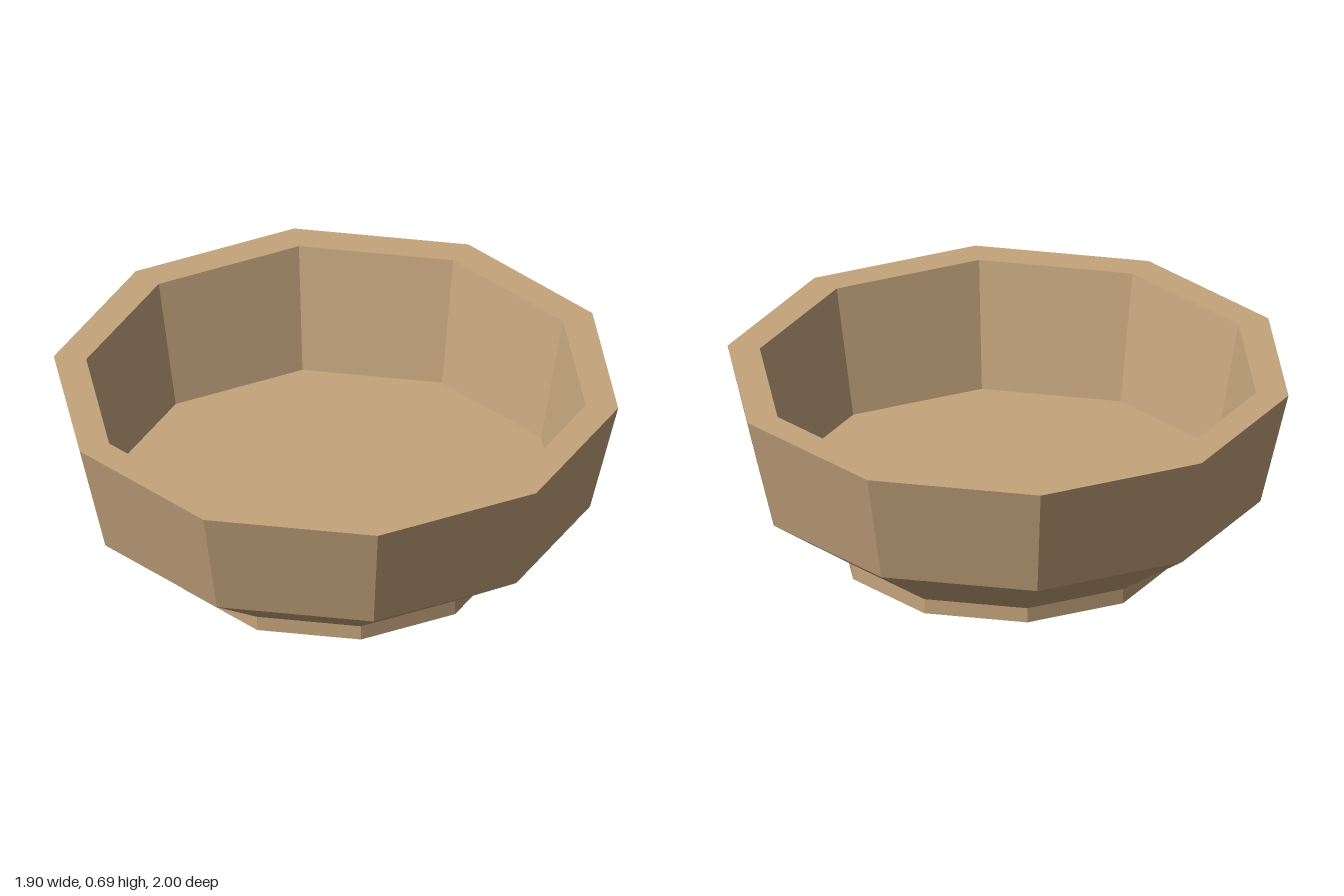
import * as THREE from 'three';

const SIDES = 10;

export function createModel() {
  const group = new THREE.Group();
  group.name = 'bowl';
  const wood = new THREE.MeshStandardMaterial({ color: 0xc4a47c, flatShading: true });
  wood.name = 'light wood';

  // Turns a profile of [radius, height] points into a ten-sided ring with corners at the front and back
  function turn(name, profile) {
    const points = profile.map(([r, y]) => new THREE.Vector2(r, y));
    const mesh = new THREE.Mesh(new THREE.LatheGeometry(points, SIDES), wood);
    mesh.name = name;
    group.add(mesh);
  }

  // Short upright foot with a closed underside
  turn('foot', [[0, 0], [0.595, 0], [0.595, 0.055]]);
  // Flared underside, then the steeper outer wall
  turn('outerWall', [[0.595, 0.055], [0.9, 0.27], [1, 0.69]]);
  // Flat top edge
  turn('rim', [[1, 0.69], [0.885, 0.69]]);
  // Inside wall and flat floor
  turn('innerWall', [[0.885, 0.69], [0.8, 0.23]]);
  turn('floor', [[0.8, 0.23], [0, 0.23]]);

  return group;
}
